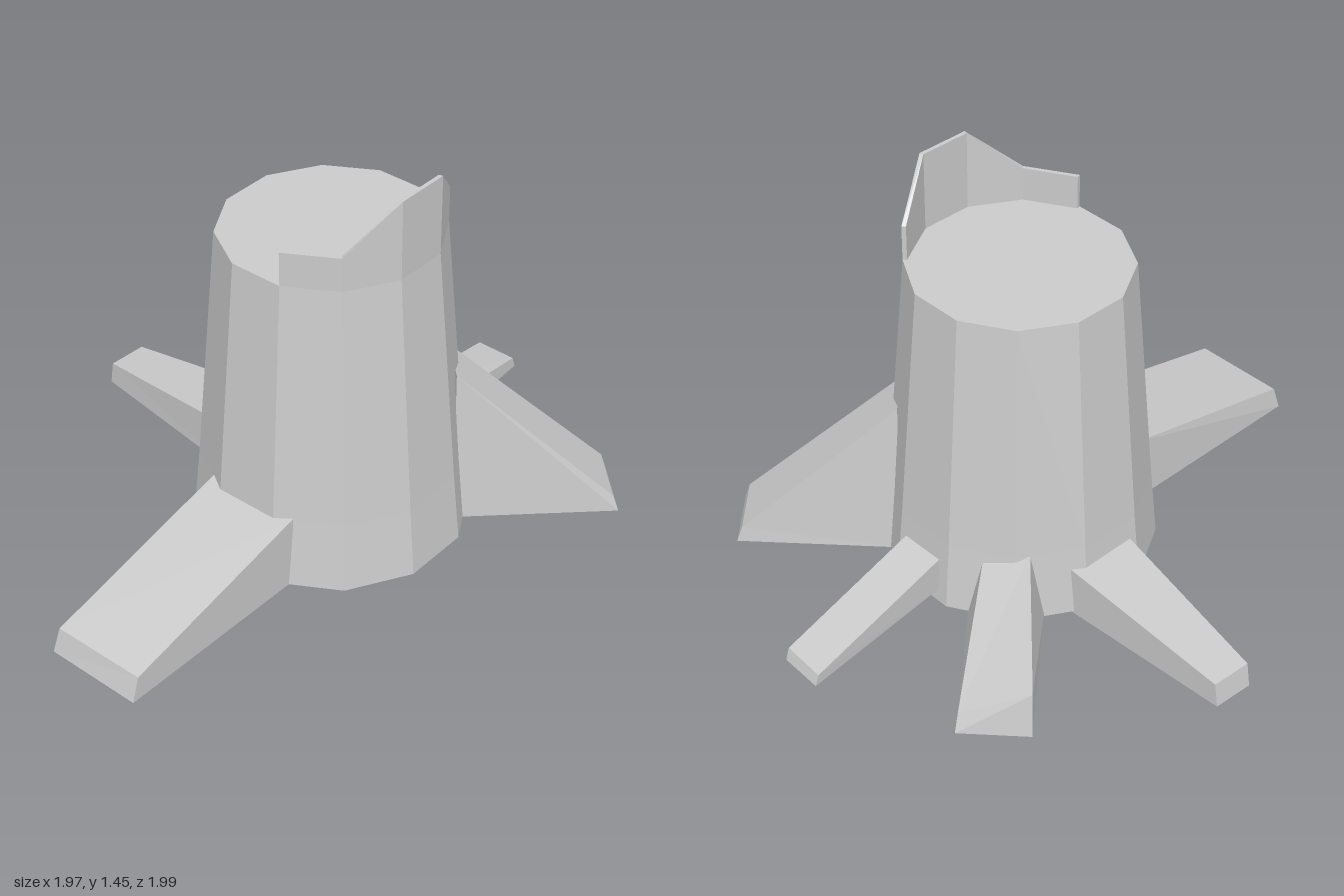
import * as THREE from 'three';

const material = new THREE.MeshStandardMaterial({ color: 0xcccccc, flatShading: true });

// Skin a closed solid between matching cross-section quads, capping both ends.
function loft(name, sections) {
  const pos = [];
  const quad = (a, b, c, d) => pos.push(...a, ...b, ...c, ...a, ...c, ...d);
  for (let s = 0; s < sections.length - 1; s++) {
    const p = sections[s], q = sections[s + 1];
    for (let i = 0; i < 4; i++) {
      const j = (i + 1) % 4;
      quad(p[i], p[j], q[j], q[i]);
    }
  }
  quad(...[...sections[0]].reverse());
  quad(...sections[sections.length - 1]);
  const geometry = new THREE.BufferGeometry();
  geometry.setAttribute('position', new THREE.Float32BufferAttribute(pos, 3));
  geometry.computeVertexNormals();
  const mesh = new THREE.Mesh(geometry, material);
  mesh.name = name;
  return mesh;
}

// Corners run: lower right, lower left, upper left, upper right, looking outward.
const roots = {
  frontRightRoot: [
    [[-0.43, 0.01, 0.18], [-0.18, 0.01, 0.44], [-0.18, 0.28, 0.44], [-0.43, 0.28, 0.18]],
    [[-0.985, 0.02, 0.73], [-0.73, 0.02, 0.99], [-0.71, 0.11, 0.97], [-0.96, 0.11, 0.72]],
  ],
  leftRoot: [
    [[0.4, 0.01, 0.155], [0.4, 0.01, -0.1], [0.4, 0.6, -0.06], [0.4, 0.6, 0.12]],
    [[0.985, 0.01, 0.17], [0.985, 0.01, -0.08], [0.965, 0.07, -0.075], [0.965, 0.07, 0.16]],
  ],
  backRoot: [
    [[0.15, 0.01, -0.41], [-0.11, 0.01, -0.41], [-0.06, 0.275, -0.41], [0.1, 0.225, -0.41]],
    [[0.17, 0.01, -0.99], [-0.08, 0.01, -1], [-0.08, 0.175, -0.975], [0.16, 0.08, -0.965]],
  ],
  backRightRoot: [
    [[-0.19, 0, -0.39], [-0.39, 0, -0.22], [-0.39, 0.19, -0.22], [-0.19, 0.19, -0.39]],
    [[-0.68, 0.01, -0.85], [-0.79, 0.01, -0.75], [-0.78, 0.1, -0.74], [-0.67, 0.1, -0.84]],
  ],
  backLeftRoot: [
    [[0.37, 0.06, -0.24], [0.25, 0.06, -0.36], [0.25, 0.19, -0.36], [0.37, 0.19, -0.24]],
    [[0.745, 0.03, -0.69], [0.635, 0.03, -0.81], [0.625, 0.07, -0.8], [0.735, 0.075, -0.68]],
  ],
};

export function createModel() {
  const model = new THREE.Group();
  const cx = -0.015, cz = 0.022;

  // Twelve-sided trunk, flared at the foot, with a flat cut top
  const profile = [[0, 0.01], [0.485, 0.01], [0.46, 0.27], [0.385, 1.16], [0, 1.16]]
    .map(([r, y]) => new THREE.Vector2(r, y));
  const trunk = new THREE.Mesh(new THREE.LatheGeometry(profile, 12), material);
  trunk.name = 'trunk';
  trunk.position.set(cx, 0, cz);
  model.add(trunk);

  // Thin broken strip of wood standing on the front rim
  const heights = [1.29, 1.45, 1.45, 1.285, 1.285];
  const sections = heights.map((top, i) => {
    const a = (i * Math.PI) / 6;
    const at = (r, y) => [cx + r * Math.cos(a), y, cz + r * Math.sin(a)];
    return [at(0.37, 1.155), at(0.385, 1.155), at(0.385, top), at(0.37, top)];
  });
  model.add(loft('splinter', sections));

  // Roots
  for (const [name, ends] of Object.entries(roots)) model.add(loft(name, ends));

  return model;
}
